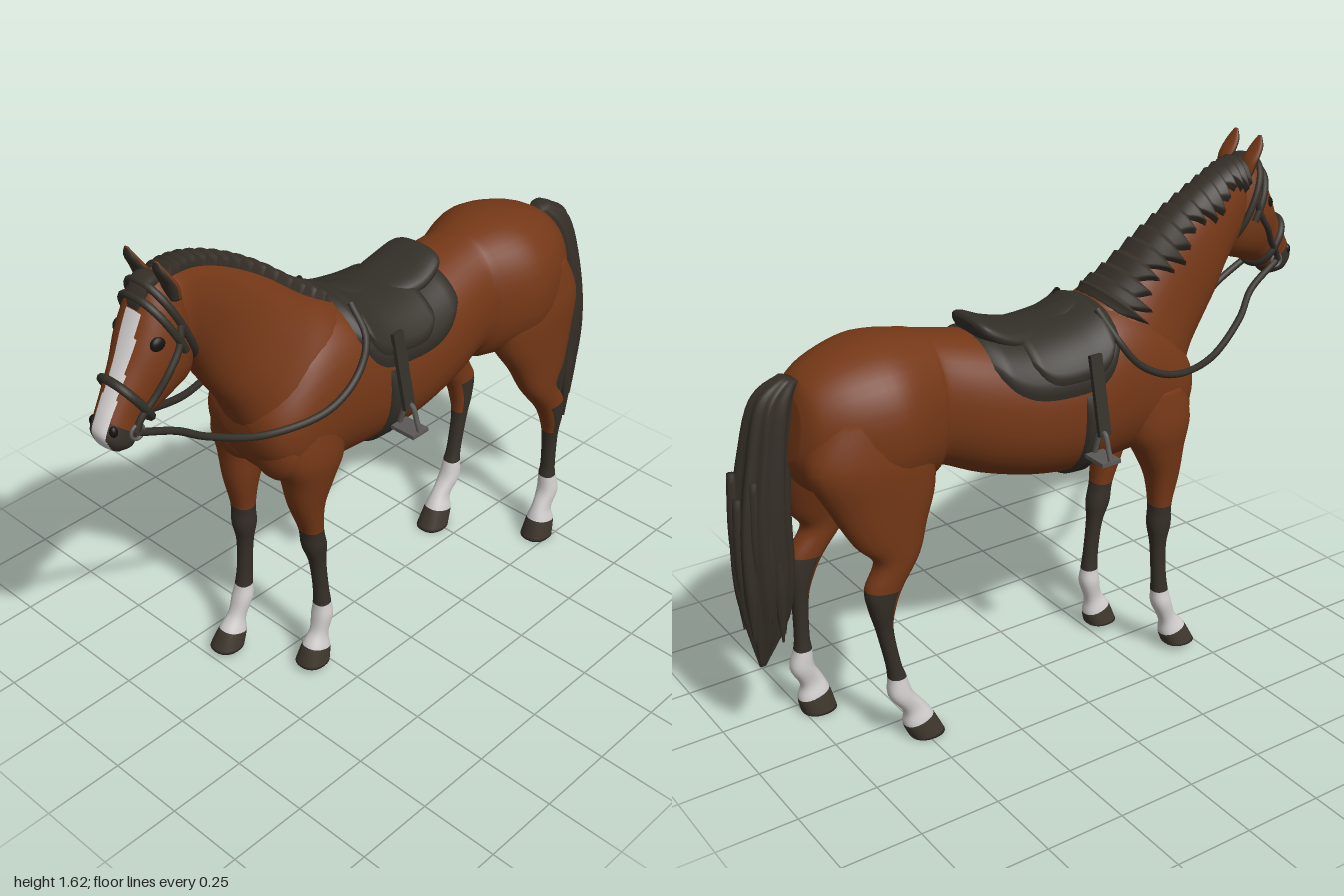
import * as THREE from 'three';

const mat = (name, color, side = THREE.FrontSide) => Object.assign(new THREE.MeshStandardMaterial({ color, side }), { name });

// Cross-sections are [front/top z, y, back/bottom z, y, centre x, half width].
const TORSO = [
  [-.80, 1.13, -.83, .95, .045, .08], [-.77, 1.18, -.79, .86, .045, .14], [-.68, 1.225, -.68, .80, .045, .197],
  [-.55, 1.25, -.55, .79, .045, .225], [-.42, 1.235, -.42, .80, .045, .18], [-.38, 1.225, -.38, .825, .043, .165],
  [-.25, 1.2, -.25, .77, .03, .188], [-.1, 1.175, -.1, .73, .015, .207], [.05, 1.19, .05, .715, 0, .21],
  [.18, 1.235, .18, .72, 0, .205], [.3, 1.21, .3, .73, 0, .197], [.4, 1.11, .4, .76, 0, .18],
  [.46, 1.03, .46, .84, 0, .135], [.48, .98, .48, .91, 0, .06]];
const NECK = [
  [.06, 1.16, .34, .82, 0, .165], [.14, 1.23, .46, .92, 0, .165], [.24, 1.29, .51, 1.02, -.01, .13],
  [.36, 1.385, .56, 1.10, -.02, .1], [.48, 1.46, .605, 1.17, -.02, .086], [.6, 1.515, .645, 1.23, -.005, .08],
  [.70, 1.54, .70, 1.28, .02, .078], [.76, 1.53, .76, 1.32, .03, .055]];
const HEAD = [
  [.735, 1.555, .68, 1.45, .03, .05], [.79, 1.545, .68, 1.31, .033, .083], [.825, 1.495, .70, 1.25, .037, .094],
  [.862, 1.43, .76, 1.225, .042, .09], [.9, 1.365, .81, 1.205, .05, .073], [.947, 1.295, .86, 1.185, .057, .058],
  [.98, 1.245, .88, 1.165, .062, .053], [.998, 1.205, .905, 1.14, .064, .052], [.985, 1.165, .94, 1.14, .064, .036]];
const HIND = [
  [-.5, 1.08, -.76, 1.08, .14, .10], [-.44, .95, -.82, .95, .155, .108], [-.46, .84, -.795, .82, .175, .088],
  [-.52, .74, -.757, .70, .195, .064], [-.575, .64, -.715, .63, .205, .05], [-.655, .54, -.765, .55, .205, .042],
  [-.695, .47, -.77, .48, .203, .037], [-.715, .40, -.765, .40, .2, .027], [-.72, .28, -.765, .28, .2, .024],
  [-.715, .23, -.77, .23, .2, .028], [-.71, .17, -.785, .165, .203, .033], [-.685, .12, -.755, .1, .205, .029],
  [-.665, .075, -.765, .05, .205, .04], [-.645, 0, -.755, 0, .205, .05]];
const FORE = [
  [.42, .95, .2, .95, .12, .07], [.43, .84, .2, .82, .12, .08], [.40, .75, .235, .73, .115, .07],
  [.375, .65, .265, .64, .11, .054], [.335, .54, .265, .54, .108, .039], [.325, .47, .25, .47, .107, .037],
  [.30, .40, .25, .40, .107, .027], [.287, .3, .239, .3, .107, .023], [.285, .23, .23, .23, .107, .027],
  [.29, .185, .225, .18, .107, .033], [.30, .13, .245, .11, .107, .028], [.33, .085, .24, .06, .107, .039],
  [.355, .02, .25, .02, .107, .05]];

// Smoothly interpolated section at parameter t
function sectionAt(S, t) {
  const i = Math.min(Math.floor(t), S.length - 2), f = t - i;
  const [a, b, c, d] = [S[Math.max(i - 1, 0)], S[i], S[i + 1], S[Math.min(i + 2, S.length - 1)]];
  return b.map((v, k) => v + .5 * f * (c[k] - a[k] + f * (2 * a[k] - 5 * v + 4 * c[k] - d[k] + f * (3 * (v - c[k]) + d[k] - a[k]))));
}
// Point on a lofted surface, pushed out by off
function surf(S, t, th, off = 0) {
  const [zt, yt, zb, yb, x, w] = sectionAt(S, t);
  const pw = (v) => Math.sign(v) * Math.abs(v) ** .88;
  const c = pw(Math.cos(th)), s = pw(Math.sin(th)), h = Math.hypot(zt - zb, yt - yb) / 2, k = (1 + off / h) / 2;
  return new THREE.Vector3(x + c * (w + off), (yt + yb) / 2 + s * (yt - yb) * k, (zt + zb) / 2 + s * (zt - zb) * k);
}
function toMesh(name, points, buckets) {
  const g = new THREE.BufferGeometry().setFromPoints(points), index = [], mats = [...buckets.keys()];
  mats.forEach((m, i) => { g.addGroup(index.length, buckets.get(m).length, i); index.push(...buckets.get(m)); });
  g.setIndex(index);
  g.computeVertexNormals();
  const mesh = new THREE.Mesh(g, mats);
  mesh.name = name;
  return mesh;
}
// Closed tube through sections; pick(t, angle) chooses the material of each face
function loft(name, S, pick, { seg = 32, sub = 5, ridge = 0 } = {}) {
  const pts = [], buckets = new Map(), rows = (S.length - 1) * sub;
  const add = (m, ...ids) => buckets.set(m, [...(buckets.get(m) || []), ...ids]);
  for (let r = 0; r <= rows; r++) for (let j = 0; j < seg; j++) {
    const th = j / seg * Math.PI * 2;
    pts.push(surf(S, r / sub, th, ridge * Math.sin(th * 9 + r * .15) * Math.sin(r / rows * Math.PI)));
  }
  for (let r = 0; r < rows; r++) for (let j = 0; j < seg; j++) {
    const n = (j + 1) % seg, a = r * seg + j, b = r * seg + n;
    add(pick((r + .5) / sub, (j + .5) / seg * Math.PI * 2), a, b, b + seg, a, b + seg, a + seg);
  }
  const ends = [0, rows].map((r) => {
    const [zt, yt, zb, yb, x] = sectionAt(S, r / sub);
    return pts.push(new THREE.Vector3(x, (yt + yb) / 2, (zt + zb) / 2)) - 1;
  });
  for (let j = 0; j < seg; j++) {
    const n = (j + 1) % seg, last = rows * seg;
    add(pick(0, 0), ends[0], n, j);
    add(pick(S.length - 1.01, 0), ends[1], last + j, last + n);
  }
  return toMesh(name, pts, buckets);
}
// Sheet lying over part of a lofted surface, with edges tucked in
function patch(name, S, t0, t1, lo, hi, off, m, rows = 24, cols = 32) {
  const pts = [], ids = [];
  for (let r = 0; r <= rows; r++) for (let j = 0; j <= cols; j++) {
    const s = r / rows, q = j / cols, edge = Math.min(s, 1 - s, q, 1 - q);
    const th = THREE.MathUtils.degToRad(lo(s) + (hi(s) - lo(s)) * q);
    pts.push(surf(S, t0 + (t1 - t0) * s, th, off(s) * Math.min(1, edge * 16) - (edge ? 0 : .003)));
    if (r < rows && j < cols) {
      const a = r * (cols + 1) + j, b = a + cols + 1;
      ids.push(a, a + 1, b + 1, a, b + 1, b);
    }
  }
  return toMesh(name, pts, new Map([[m, ids]]));
}
function tube(name, pts, r, m, closed = false) {
  const curve = new THREE.CatmullRomCurve3(pts, closed);
  const mesh = new THREE.Mesh(new THREE.TubeGeometry(curve, 48, r, 8, closed), m);
  mesh.name = name;
  return mesh;
}
const V = (x, y, z) => new THREE.Vector3(x, y, z);

export function createModel() {
  const coat = mat('bay coat', 0x753817), white = mat('white markings', 0xd2cfce), hoof = mat('hoof horn', 0x3e372d);
  const dark = mat('dark hair', 0x352f27, THREE.DoubleSide), leather = mat('leather', 0x332f28, THREE.DoubleSide);
  const metal = mat('metal', 0x5c5a57), eyeMat = mat('eye', 0x15120f);
  const horse = new THREE.Group();
  horse.name = 'horse';
  const put = (...m) => horse.add(...m);

  const ball = (name, m, x, y, z, sx, sy, sz) => {
    const b = new THREE.Mesh(new THREE.SphereGeometry(1, 24, 16), m);
    b.name = name; b.position.set(x, y, z); b.scale.set(sx, sy, sz);
    put(b);
  };

  // Body, neck and head
  put(loft('torso', TORSO, () => coat, { seg: 40 }), loft('neck', NECK, () => coat));
  put(loft('head', HEAD, (t, th) => {
    const blaze = Math.sin(th) > 0 && Math.abs(Math.cos(th) * sectionAt(HEAD, t)[5] - .008) < .022;
    return blaze && t > 2.1 ? white : t > 6 ? dark : coat;
  }, { seg: 64 }));
  for (const s of [1, -1]) {
    const x = .04 + s * .055;
    put(loft('ear', [[.795, 1.62, .788, 1.62, x, .007], [.793, 1.59, .765, 1.585, x, .025],
      [.775, 1.55, .738, 1.545, x, .029], [.76, 1.5, .725, 1.5, x, .019]],
    (t, th) => (Math.sin(th) > 0 ? dark : coat), { seg: 20 }));
    ball('eye', eyeMat, .041 + s * .071, 1.407, .817, .015, .023, .026);
    ball('nostril', eyeMat, .063 + s * .038, 1.215, .97, .012, .017, .012);
    ball('chestMuscle', coat, s * .078, .87, .405, .095, .105, .055);
  }

  // Legs: shear moves the right pair forward at the foot; hind fronts stay bay below the hock
  const leg = (name, S, bands, cx, dx, reach, top, front) => loft(name,
    S.map(([a, b, c, d, x, w]) => {
      const f = (y) => reach * Math.max(0, 1 - y / top);
      return [a + f(b), b, c + f(d), d, cx ? cx - x + dx * Math.max(0, 1 - b) : x, w];
    }), (t, th) => (t < bands[0] + (Math.sin(th) > .55 ? front : 0) ? coat : t < bands[1] ? dark : t < bands[2] ? white : hoof),
    { seg: 24 });
  const hindBands = [5, 9, 12], foreBands = [4, 8, 11];
  put(leg('leftHindLeg', HIND, hindBands, 0, 0, 0, 1, 1.8), leg('rightHindLeg', HIND, hindBands, .09, .025, .21, .95, 1.8));
  put(leg('leftForeleg', FORE, foreBands, 0, 0, 0, 1, 0), leg('rightForeleg', FORE, foreBands, -.005, -.025, .14, .9, 0));

  // Mane in ragged locks over the right side, and forelock
  const saw = (s, n) => (s * n) % 1;
  put(patch('mane', NECK, 1.1, 6.9, () => 68, (s) => 134 + 24 * saw(s, 17) + 8 * Math.sin(s * 23),
    (s) => .012 + .012 * saw(s, 17), dark, 136, 16));
  put(patch('forelock', HEAD, .3, 2.2, (s) => 58 + 22 * s, (s) => 122 - 24 * s, () => .012, dark, 12, 12));

  // Tail with hanging locks
  const tail = [[-.77, 1.17, -.82, 1.19, .05, .03], [-.79, 1.10, -.90, 1.13, .06, .055], [-.81, .97, -.945, .96, .07, .07],
    [-.82, .77, -.98, .76, .075, .076], [-.82, .58, -.985, .58, .075, .066], [-.84, .44, -.965, .44, .078, .043],
    [-.915, .30, -.935, .30, .08, .006]];
  put(loft('tail', tail, () => dark, { seg: 54, ridge: .007 }));
  for (let i = 0; i < 14; i++) {
    const a = i / 14 * Math.PI * 2, x = .075 + .055 * Math.cos(a), z = -.905 + .065 * Math.sin(a), y = .36 + .2 * ((i * 5) % 14) / 14;
    put(loft('tailLock', [[z + .012, y + .38, z - .012, y + .38, x, .012], [z + .022, y + .18, z - .022, y + .18, x, .02],
      [z + .002, y, z - .004, y, x + .004, .003]], () => dark, { seg: 8 }));
  }

  // Saddle: pad, flaps, seat and girth
  const low = (base) => (s) => base + 26 * Math.abs(2 * s - 1) ** 5;
  const high = (base) => (s) => 180 - low(base)(s);
  put(patch('saddlePad', TORSO, 6, 8.85, low(14), high(14), () => .014, leather));
  put(patch('saddleFlap', TORSO, 6.7, 8.7, low(20), high(20), () => .026, leather));
  put(loft('saddleSeat', [[-.255, 1.235, -.25, 1.21, .025, .05], [-.235, 1.25, -.23, 1.18, .025, .095], [-.15, 1.217, -.15, 1.14, .02, .112],
    [-.04, 1.202, -.04, 1.13, .01, .09], [.06, 1.226, .06, 1.14, .003, .066], [.11, 1.236, .11, 1.17, 0, .05],
    [.13, 1.22, .13, 1.2, 0, .02]], () => leather));
  put(patch('girth', TORSO, 7.72, 8.12, () => 165, () => 375, () => .01, leather, 8, 48));

  // Bridle
  const ring = (S, t, off, a0 = 0, a1 = 360) => Array.from({ length: 25 }, (_, i) =>
    surf(S, t, THREE.MathUtils.degToRad(a0 + (a1 - a0) * i / 24), off));
  put(tube('noseband', ring(HEAD, 4.6, .005).slice(0, 24), .012, leather, true));
  put(tube('throatStrap', ring(HEAD, 1.15, .005).slice(0, 24), .011, leather, true));
  put(tube('browband', ring(HEAD, 1.8, .005, -5, 185), .011, leather));

  for (const s of [1, -1]) {
    const side = (t, a) => surf(HEAD, t, s > 0 ? a : Math.PI - a, .005);
    put(tube('cheekStrap', [1.2, 2, 3, 4, 5, 5.9].map((t) => side(t, .25 - t * .08)), .01, leather));
    const bit = new THREE.Mesh(new THREE.TorusGeometry(.02, .005, 8, 20), metal);
    bit.name = 'bitRing';
    bit.position.copy(side(5.9, -.3));
    bit.rotation.y = Math.PI / 2;
    put(bit);
    // Reins hang to the chest and run back to the withers
    put(tube('rein', [side(5.9, -.35), V(.045 + s * .07, 1.13, .78), V(.02 + s * .1, 1.07, .69), V(s * .155, 1.0, .51),
      V(s * .205, 1.01, .32), V(s * .203, 1.07, .2), V(s * .178, 1.15, .14), V(s * .1, 1.225, .12)], .011, leather));

    // Stirrup leather, iron and tread
    const strap = new THREE.Mesh(new THREE.BoxGeometry(.014, .24, .04), leather);
    strap.name = 'stirrupLeather';
    strap.position.set(s * .228, 1.02, .04);
    strap.rotation.z = s * .22;
    put(strap);
    put(tube('stirrupIron', [V(s * .215, .835, .035), V(s * .225, .87, .035), V(s * .24, .91, .035), V(s * .262, .912, .035),
      V(s * .28, .87, .035), V(s * .292, .835, .035)], .008, metal));
    const tread = new THREE.Mesh(new THREE.BoxGeometry(.086, .012, .065), metal);
    tread.name = 'stirrupTread';
    tread.position.set(s * .254, .832, .035);
    put(tread);
  }
  return horse;
}
